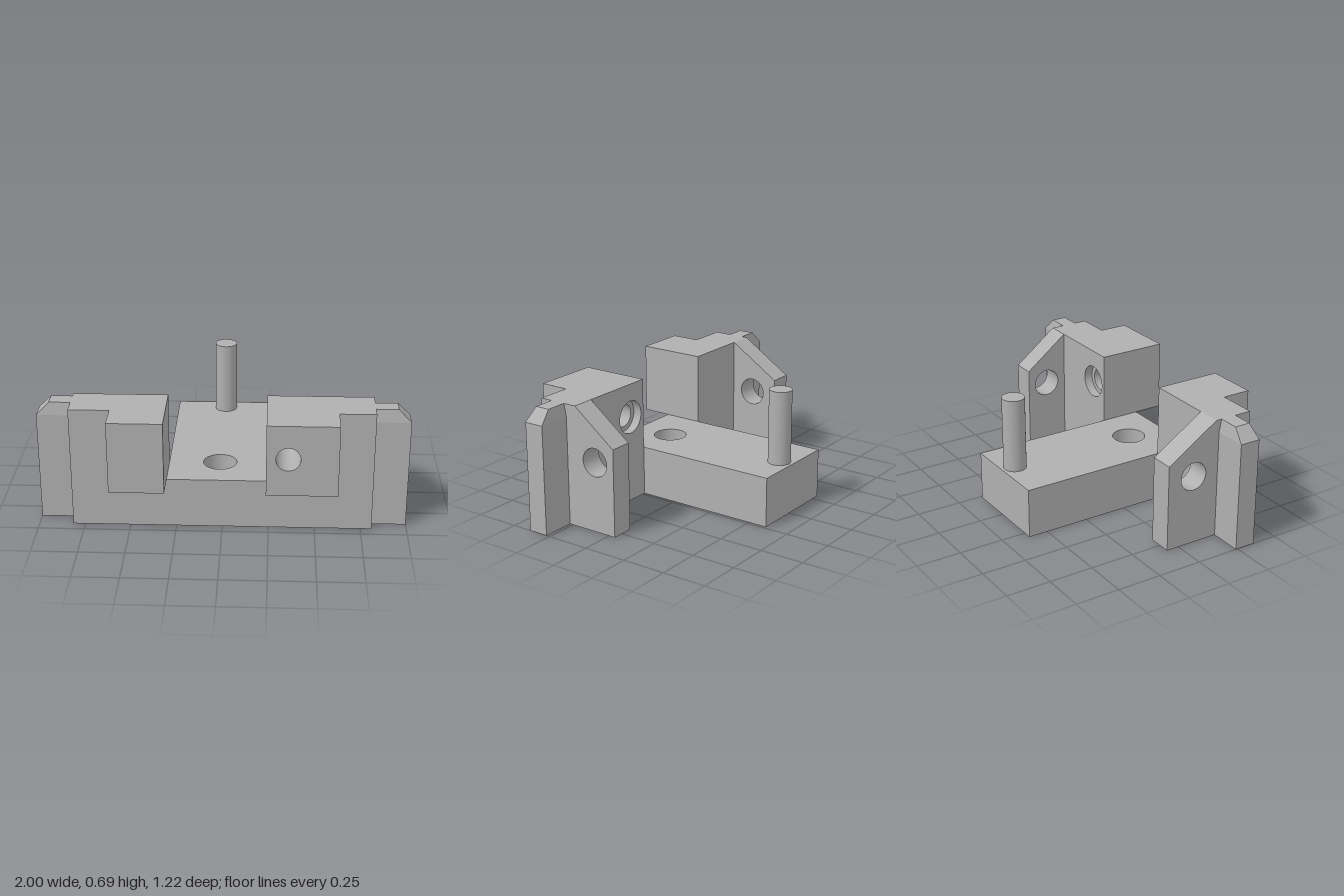
import * as THREE from 'three';
import { toCreasedNormals } from 'three/addons/utils/BufferGeometryUtils.js';

export function createModel() {
  const model = new THREE.Group();
  const grey = new THREE.MeshStandardMaterial({ color: 0xb0b0b0 });
  grey.name = 'plain grey';

  const add = (name, geometry) => {
    const mesh = new THREE.Mesh(geometry, grey);
    mesh.name = name;
    model.add(mesh);
    return mesh;
  };

  // Flat outline with an optional round hole [cx, cy, r], extruded along +z
  const plate = (points, depth, hole) => {
    const shape = new THREE.Shape(points.map(([x, y]) => new THREE.Vector2(x, y)));
    if (hole) {
      const path = new THREE.Path();
      path.absarc(hole[0], hole[1], hole[2], 0, Math.PI * 2, true);
      shape.holes.push(path);
    }
    return new THREE.ExtrudeGeometry(shape, { depth, bevelEnabled: false, curveSegments: 40 });
  };
  const smooth = (geometry) => toCreasedNormals(geometry, 0.5);
  const rect = (x0, x1, y0, y1) => [[x0, y0], [x1, y0], [x1, y1], [x0, y1]];

  const floor = 0.28, top = 0.68, front = 0.44, nose = 0.605;

  // T-shaped base with a vertical hole, outline in x and z
  const base = plate([
    [-0.3, -0.61], [0.235, -0.61], [0.235, 0.21], [0.81, 0.21],
    [0.81, front], [-0.815, front], [-0.815, 0.22], [-0.3, 0.22],
  ], floor, [-0.02, 0.215, 0.092]);
  base.rotateX(Math.PI / 2).translate(0, floor, 0);
  add('base', smooth(base));

  // Upright pin near the back of the base
  const pin = new THREE.CylinderGeometry(0.063, 0.063, 0.415, 40);
  add('pin', pin.translate(-0.015, floor + 0.2075, -0.53));

  // Upright blocks, cut into slabs along z: [name, x0, x1, z0, z1, hole radius]
  const slabs = [
    ['rightBlock', -0.815, -0.3, 0.22, front, 0],
    ['rightJaw', -0.595, -0.3, front, nose, 0],
    ['leftBlockCounterbore', 0.235, 0.81, 0.21, 0.26, 0.093],
    ['leftBlock', 0.235, 0.81, 0.26, front, 0.065],
    ['leftJaw', 0.235, 0.615, front, nose, 0.065],
  ];
  for (const [name, x0, x1, z0, z1, r] of slabs) {
    const slab = plate(rect(x0, x1, floor, top), z1 - z0, r ? [0.35, 0.49, r] : null);
    add(name, smooth(slab.translate(0, 0, z0)));
  }

  // Sloped back fins with a cross hole, outline in z and y
  const fin = (name, x0, x1, zBack, zFront) => {
    const g = plate([[zBack, 0], [zFront, 0], [zFront, top], [zBack, 0.49]],
      x1 - x0, [0.085, 0.393, 0.079]);
    add(name, smooth(g.rotateY(-Math.PI / 2).translate(x1, 0, 0)));
  };
  fin('rightFin', -0.815, -0.68, -0.073, 0.22);
  fin('leftFin', 0.68, 0.81, -0.038, 0.21);

  // End tabs whose top narrows and is cut back at the outer corner
  const tab = (name, side, xIn, z0, z1) => {
    const g = new THREE.BoxGeometry(1, 1, 1, 1, 2, 1);
    const p = g.attributes.position;
    for (let i = 0; i < p.count; i++) {
      const upper = p.getY(i) > 0.25;
      const outer = p.getX(i) * side > 0;
      const inset = upper ? 0.014 : 0;
      p.setXYZ(i,
        side * (outer ? (upper ? 0.93 : 1) : xIn),
        p.getY(i) < -0.25 ? 0 : upper ? top : 0.61,
        p.getZ(i) > 0 ? z1 - inset : z0 + inset);
    }
    const flat = g.toNonIndexed();
    flat.computeVertexNormals();
    add(name, flat);
  };
  tab('rightTab', -1, 0.815, 0.24, 0.357);
  tab('leftTab', 1, 0.81, 0.27, 0.383);

  return model;
}
